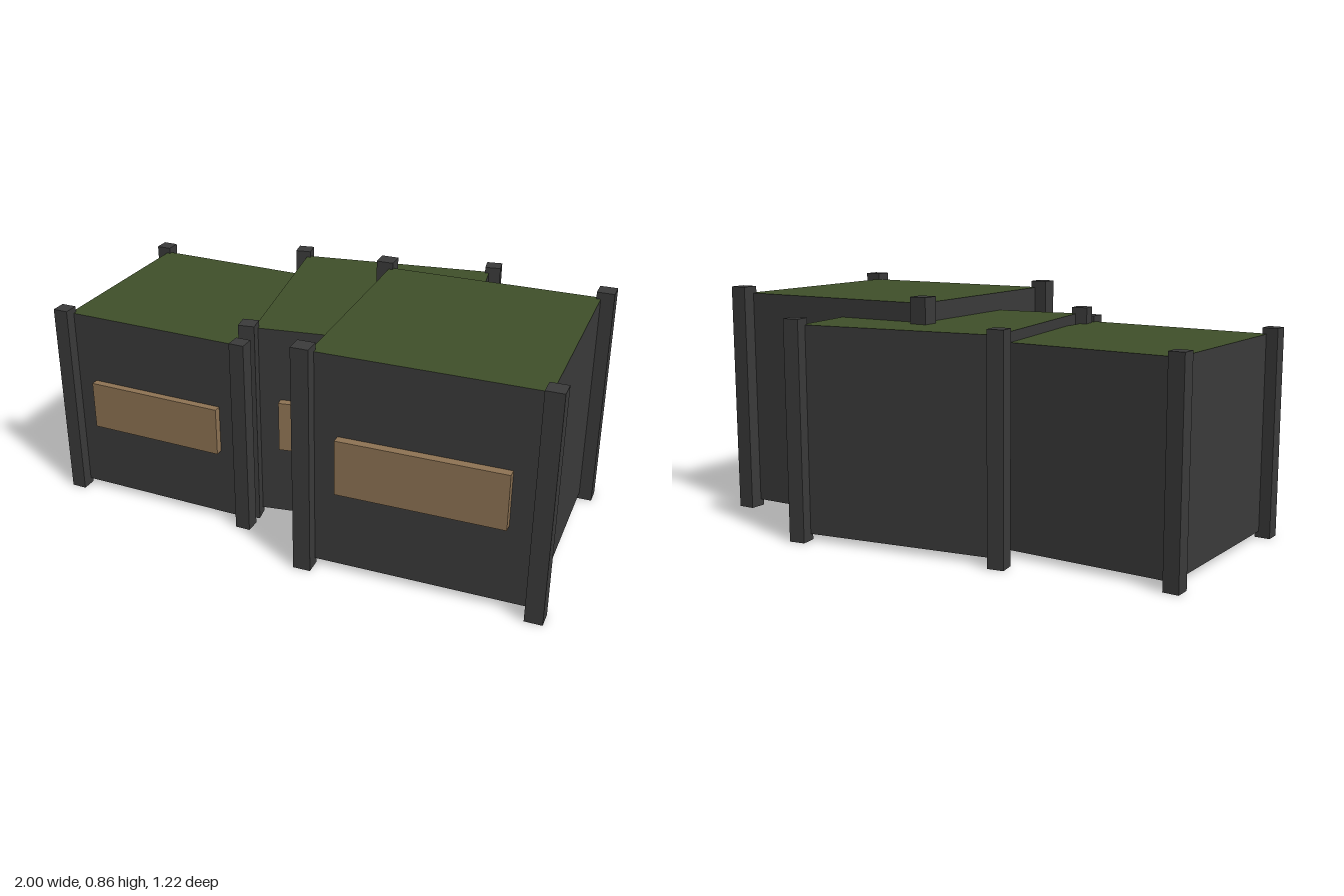
import * as THREE from 'three';

const mat = (name, color) => new THREE.MeshStandardMaterial({ name, color });

export function createModel() {
  const charcoal = mat('charcoal', 0x3b3b3b);
  const green = mat('mossGreen', 0x40502a);
  const tan = mat('tanWood', 0x8f7454);

  const add = (parent, name, size, pos, material) => {
    const mesh = new THREE.Mesh(new THREE.BoxGeometry(...size), material);
    mesh.name = name;
    mesh.position.set(...pos);
    parent.add(mesh);
  };

  // One crate of edge length s, standing on y = 0
  const crate = (name, s, x, z, turn) => {
    const g = new THREE.Group();
    g.name = name;
    g.position.set(x, 0, z);
    g.rotation.y = turn;

    // Body with a green top face
    add(g, 'body', [s, 1.01 * s, s], [0, 0.537 * s, 0],
      [charcoal, charcoal, green, charcoal, charcoal, charcoal]);

    // Four corner posts
    for (const sx of [-1, 1]) for (const sz of [-1, 1]) {
      add(g, 'cornerPost', [0.08 * s, 1.074 * s, 0.08 * s],
        [sx * 0.52 * s, 0.537 * s, sz * 0.52 * s], charcoal);
    }

    // Front panel
    add(g, 'frontPanel', [0.75 * s, 0.26 * s, 0.04 * s], [0, 0.539 * s, 0.52 * s], tan);
    return g;
  };

  const model = new THREE.Group();
  model.name = 'crateStack';
  model.add(
    crate('rightHandCrate', 0.7, -0.548, -0.148, -0.172),
    crate('middleCrate', 0.735, 0.135, -0.195, 0.007),
    crate('leftHandCrate', 0.8, 0.495, 0.105, -0.127),
  );
  return model;
}
